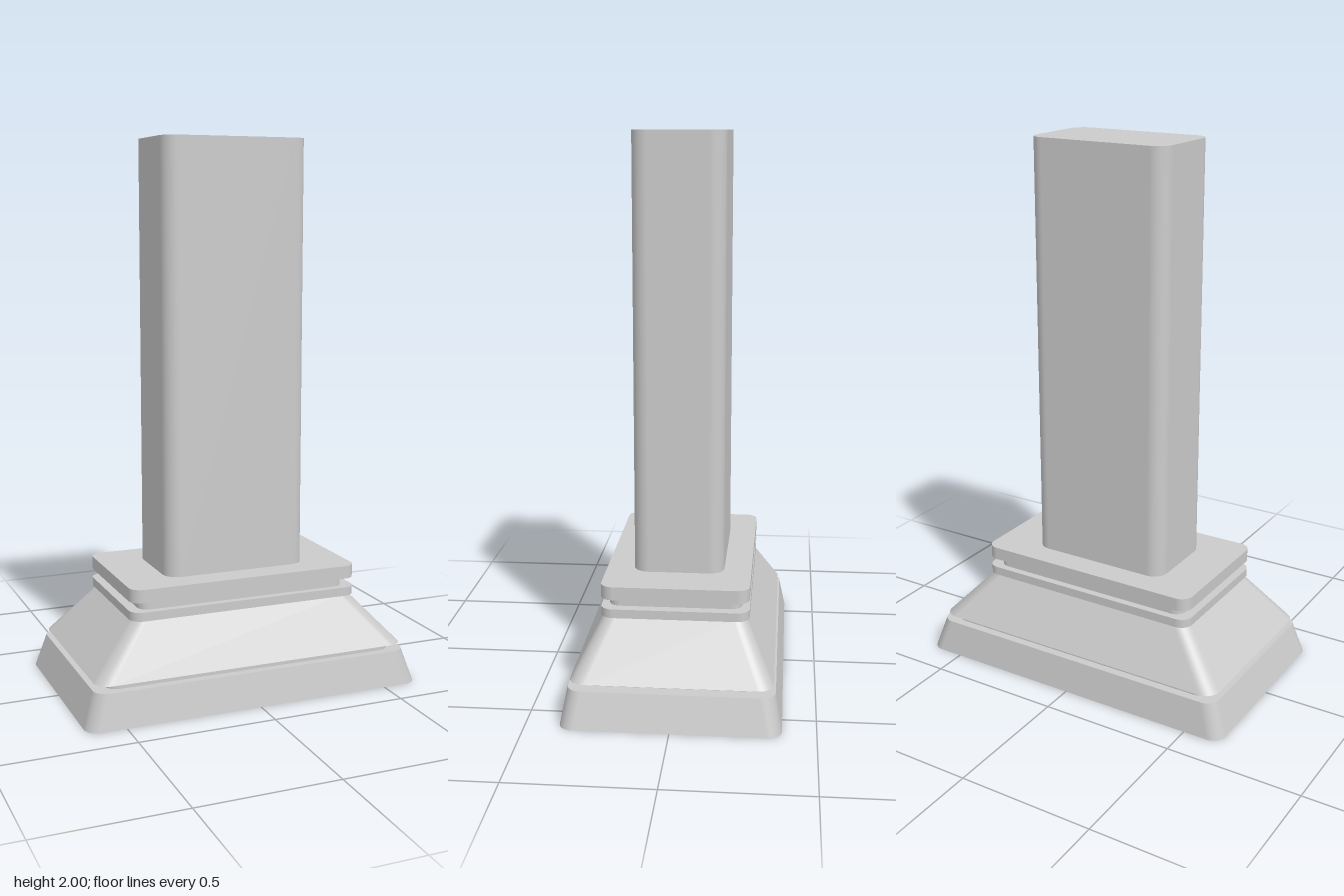
import * as THREE from 'three';

const ARC = 8; // steps per rounded corner

// Points of a rounded rectangle with their outward directions
function ring([y, hx, hz, r]) {
  const pts = [];
  const signs = [[1, 1], [-1, 1], [-1, -1], [1, -1]];
  signs.forEach(([sx, sz], k) => {
    for (let i = 0; i <= ARC; i++) {
      const a = (k + i / ARC) * Math.PI / 2;
      const c = Math.cos(a), s = Math.sin(a);
      pts.push({ x: sx * (hx - r) + c * r, y, z: sz * (hz - r) + s * r, c, s });
    }
  });
  return pts;
}

// Loft through sections [y, halfWidth, halfDepth, cornerRadius]: crisp between
// sections, smooth around the corners
function loft(name, sections, { capStart = false, capEnd = false } = {}) {
  const pos = [], nor = [], idx = [];
  const put = (p, n) => {
    pos.push(p.x, p.y, p.z);
    nor.push(n.x, n.y, n.z);
    return pos.length / 3 - 1;
  };
  for (let k = 0; k + 1 < sections.length; k++) {
    const A = sections[k], B = sections[k + 1];
    const lo = ring(A), hi = ring(B), count = lo.length;
    const dy = B[0] - A[0], base = pos.length / 3;
    lo.forEach((p, i) => {
      const d = (B[1] - A[1]) * p.c * p.c + (B[2] - A[2]) * p.s * p.s;
      const n = new THREE.Vector3(p.c * dy, -d, p.s * dy).normalize();
      put(p, n);
      put(hi[i], n);
    });
    for (let i = 0; i < count; i++) {
      const a = base + 2 * i, b = base + 2 * ((i + 1) % count);
      idx.push(a, a + 1, b, b, a + 1, b + 1);
    }
  }
  const cap = (section, up) => {
    const n = new THREE.Vector3(0, up, 0);
    const centre = put({ x: 0, y: section[0], z: 0 }, n);
    const ids = ring(section).map(p => put(p, n));
    ids.forEach((a, i) => {
      const b = ids[(i + 1) % ids.length];
      if (up > 0) idx.push(centre, b, a);
      else idx.push(centre, a, b);
    });
  };
  if (capStart) cap(sections[0], -1);
  if (capEnd) cap(sections[sections.length - 1], 1);

  const geo = new THREE.BufferGeometry();
  geo.setAttribute('position', new THREE.Float32BufferAttribute(pos, 3));
  geo.setAttribute('normal', new THREE.Float32BufferAttribute(nor, 3));
  geo.setIndex(idx);
  const mesh = new THREE.Mesh(geo, new THREE.MeshStandardMaterial({ color: 0xcccccc }));
  mesh.name = name;
  return mesh;
}

export function createModel() {
  const model = new THREE.Group();
  model.name = 'pedestalColumn';
  model.add(
    // Plinth with a recess in its underside
    loft('plinth', [
      [0.2, 0.54, 0.29, 0.04],
      [0, 0.54, 0.29, 0.04],
      [0, 0.64, 0.382, 0.05],
      [0.125, 0.6, 0.359, 0.05],
      [0.125, 0.55, 0.328, 0.045],
    ], { capStart: true }),
    // Groove and sloping body
    loft('slopedBody', [
      [0.125, 0.55, 0.328, 0.045],
      [0.147, 0.55, 0.328, 0.045],
      [0.147, 0.594, 0.352, 0.055],
      [0.33, 0.425, 0.252, 0.045],
    ]),
    // Thin band above the slope
    loft('lowerBand', [
      [0.33, 0.42, 0.245, 0.045],
      [0.33, 0.438, 0.262, 0.045],
      [0.362, 0.438, 0.262, 0.045],
      [0.362, 0.4, 0.235, 0.04],
    ]),
    // Recessed neck
    loft('neck', [[0.362, 0.4, 0.235, 0.04], [0.396, 0.4, 0.235, 0.04]]),
    // Top slab
    loft('topSlab', [[0.396, 0.438, 0.262, 0.045], [0.444, 0.438, 0.262, 0.045]],
      { capStart: true, capEnd: true }),
    // Shaft
    loft('shaft', [[0.444, 0.272, 0.163, 0.055], [2, 0.272, 0.163, 0.055]], { capEnd: true }),
  );
  return model;
}
